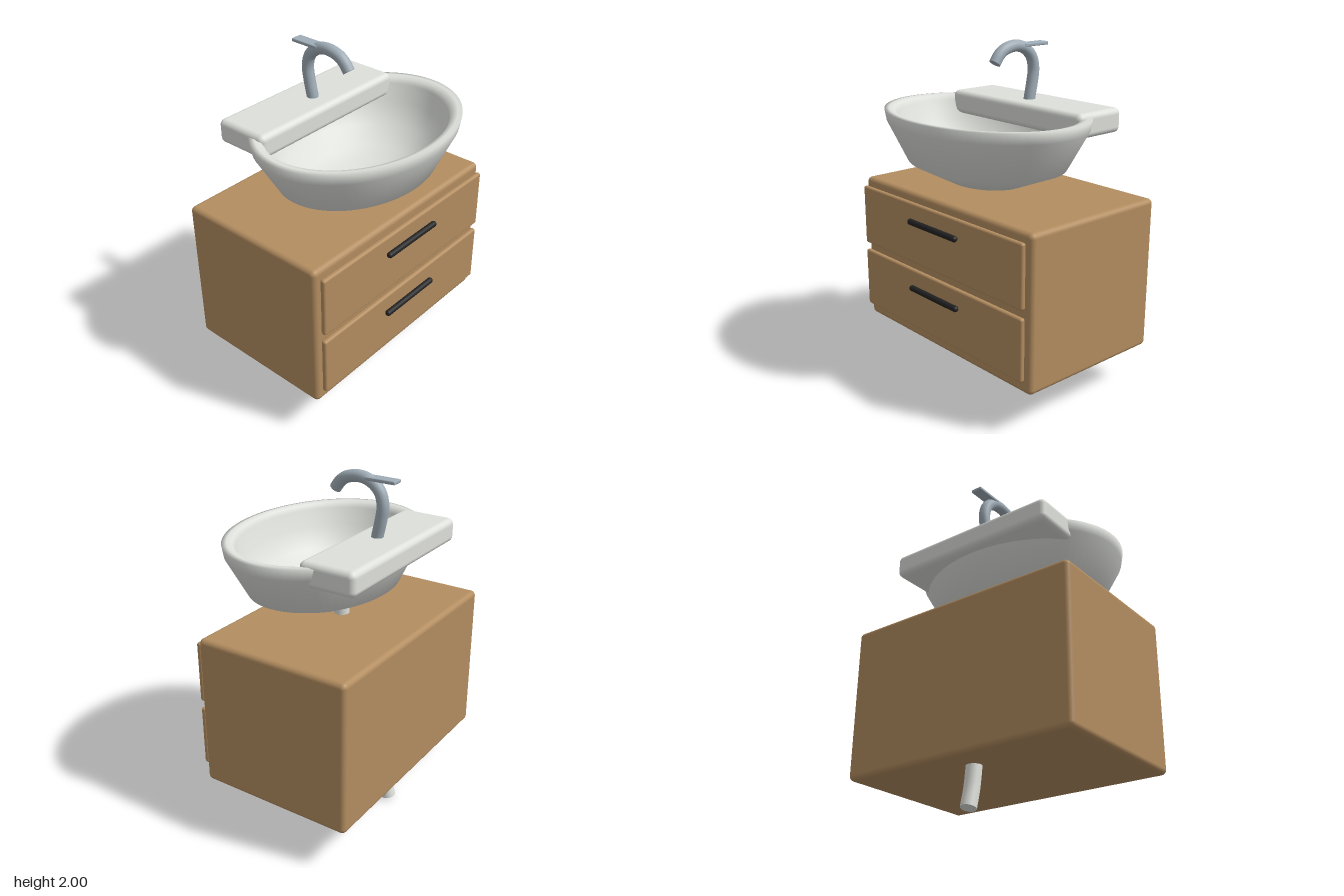
import * as THREE from 'three';
import { RoundedBoxGeometry } from 'three/addons/geometries/RoundedBoxGeometry.js';

const material = (name, color) => new THREE.MeshStandardMaterial({ name, color });

export function createModel() {
  const wood = material('wood', 0xb38d60);
  const ceramic = material('ceramic', 0xdee0db);
  const metal = material('metal', 0xa0adb7);
  const black = material('black', 0x222222);
  const model = new THREE.Group();
  model.name = 'washbasinCabinet';

  const add = (name, geometry, mat, x = 0, y = 0, z = 0, parent = model) => {
    const mesh = new THREE.Mesh(geometry, mat);
    mesh.name = name;
    mesh.position.set(x, y, z);
    parent.add(mesh);
    return mesh;
  };
  // Rounded box given by its x, y and z ranges
  const block = (name, mat, [x0, x1], [y0, y1], [z0, z1], radius) =>
    add(name, new RoundedBoxGeometry(x1 - x0, y1 - y0, z1 - z0, 4, radius), mat,
      (x0 + x1) / 2, (y0 + y1) / 2, (z0 + z1) / 2);
  // Round pipe through [y, z] points, closed at its far end
  const pipe = (name, mat, points, radius) => {
    const group = new THREE.Group();
    group.name = name;
    const curve = new THREE.CatmullRomCurve3(points.map(([y, z]) => new THREE.Vector3(0, y, z)));
    add(name + 'Tube', new THREE.TubeGeometry(curve, 40, radius, 24), mat, 0, 0, 0, group);
    const end = curve.getPoint(1);
    const cap = add(name + 'End', new THREE.CircleGeometry(radius, 24), mat, 0, end.y, end.z, group);
    cap.quaternion.setFromUnitVectors(new THREE.Vector3(0, 0, 1), curve.getTangent(1));
    model.add(group);
  };

  // Cabinet with two drawers and bar handles
  block('cabinet', wood, [-0.735, 0.735], [0.245, 1.15], [-0.565, 0.385], 0.03);
  for (const [name, y] of [['lower', 0.33], ['upper', 0.74]]) {
    block(name + 'Drawer', wood, [-0.705, 0.705], [y, y + 0.365], [0.395, 0.428], 0.014);
    const handle = add(name + 'Handle', new THREE.CapsuleGeometry(0.018, 0.395, 6, 16), black, 0, y + 0.263, 0.45);
    handle.rotation.z = Math.PI / 2;
  }

  // Oval bowl: outer wall, rolled rim, inner wall and drain recess
  const profile = [
    [0, 1.2], [0.25, 1.22], [0.52, 1.33], [0.655, 1.56], [0.667, 1.622], [0.635, 1.626],
    [0.6, 1.618], [0.58, 1.59], [0.545, 1.49], [0.47, 1.37], [0.34, 1.285], [0.2, 1.25],
    [0.082, 1.24], [0.078, 1.233], [0, 1.233],
  ].map(([r, y]) => new THREE.Vector2(r, y));
  const bowl = add('bowl', new THREE.LatheGeometry(profile, 72), ceramic, 0, 0, 0.05);
  bowl.scale.z = 0.765;

  // Tap ledge over the back of the bowl
  block('tapLedge', ceramic, [-0.54, 0.54], [1.51, 1.65], [-0.485, -0.147], 0.035);

  // Drain plate with five holes
  add('drainPlate', new THREE.CylinderGeometry(0.06, 0.06, 0.014, 32), metal, 0, 1.237, 0.045);
  for (let i = 0; i < 5; i++) {
    const a = (i / 5) * Math.PI * 2;
    add('drainHole', new THREE.CylinderGeometry(0.011, 0.011, 0.004, 12), black,
      0.038 * Math.cos(a), 1.244, 0.045 + 0.038 * Math.sin(a));
  }

  // Curved tap and flat lever
  pipe('tap', metal, [
    [1.6, -0.283], [1.66, -0.291], [1.75, -0.31], [1.83, -0.319], [1.9, -0.298],
    [1.95, -0.24], [1.966, -0.17], [1.95, -0.09], [1.92, -0.048], [1.879, -0.018],
  ], 0.034);
  block('tapLever', metal, [-0.035, 0.035], [1.957, 1.977], [-0.405, -0.22], 0.006);

  // Waste pipes above and below the cabinet
  add('upperWastePipe', new THREE.CylinderGeometry(0.045, 0.045, 0.12, 24), ceramic, 0, 1.16, -0.06);
  pipe('lowerWastePipe', ceramic, [[0.34, -0.36], [0.245, -0.368], [0.12, -0.383], [0.012, -0.407]], 0.044);

  return model;
}
